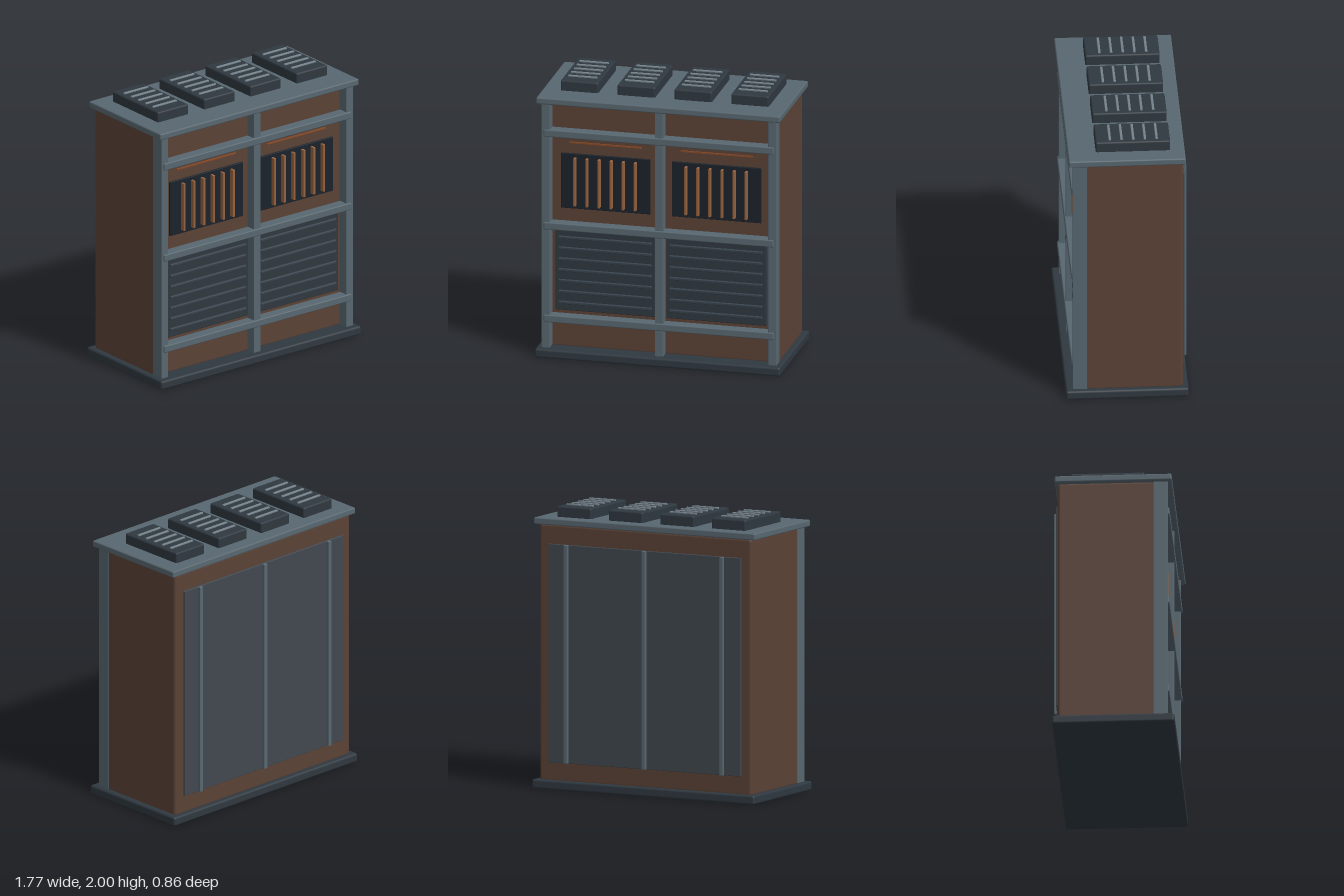
import * as THREE from 'three';
import { RoundedBoxGeometry } from 'three/addons/geometries/RoundedBoxGeometry.js';

const paint = (color) => new THREE.MeshStandardMaterial({ color });

export function createModel() {
  const model = new THREE.Group();
  const brown = paint(0x5b4236);
  const steel = paint(0x586770);
  const dark = paint(0x2f3840);
  const black = paint(0x1a222a);
  const slatSteel = paint(0x38434c);
  const copper = paint(0x96623f);
  const rust = paint(0x8a4a28);
  const backSteel = paint(0x41484f);
  const ridgeSteel = paint(0x75828b);

  // Box given by its extents on each axis, with an optional edge bevel
  function box(name, [x0, x1], [y0, y1], [z0, z1], material, bevel = 0) {
    const size = [x1 - x0, y1 - y0, z1 - z0];
    const geometry = bevel
      ? new RoundedBoxGeometry(...size, 2, bevel)
      : new THREE.BoxGeometry(...size);
    const mesh = new THREE.Mesh(geometry, material);
    mesh.name = name;
    mesh.position.set((x0 + x1) / 2, (y0 + y1) / 2, (z0 + z1) / 2);
    model.add(mesh);
    return mesh;
  }
  const around = (centre, width) => [centre - width / 2, centre + width / 2];

  // Cabinet shell
  box('base', [-0.885, 0.885], [0, 0.065], [-0.43, 0.43], dark, 0.015);
  box('body', [-0.845, 0.845], [0.05, 1.875], [-0.392, 0.305], brown, 0.022);
  box('topPlate', [-0.88, 0.88], [1.867, 1.915], [-0.41, 0.41], steel, 0.01);

  // Front frame
  for (const x of [-0.818, 0, 0.818]) {
    box('frontPost', around(x, 0.06), [0.06, 1.87], [0.28, 0.382], steel, 0.004);
  }
  for (const y of [0.281, 0.965, 1.65]) {
    box('frontRail', [-0.83, 0.83], around(y, 0.053), [0.305, 0.392], steel, 0.008);
  }

  // Two front bays: barred window, accent strip and louvred panel
  for (const x of [-0.4, 0.4]) {
    box('windowPanel', around(x, 0.645), [1.085, 1.49], [0.29, 0.318], black, 0.004);
    for (let i = 0; i < 6; i++) {
      const barX = x + (i - 2.5) * 0.087;
      box('windowBar', around(barX, 0.018), [1.11, 1.465], [0.31, 0.35], copper, 0.004);
    }
    box('accentStrip', around(x, 0.52), around(1.57, 0.01), [0.3, 0.315], rust);

    box('louvrePanel', around(x, 0.72), [0.333, 0.932], [0.29, 0.328], dark, 0.006);
    for (let i = 0; i < 7; i++) {
      const y = 0.392 + i * 0.08;
      box('louvreSlat', around(x, 0.672), around(y, 0.02), [0.318, 0.342], slatSteel, 0.005);
    }
  }

  // Back panel with vertical ribs
  box('backPanel', [-0.765, 0.765], [0.19, 1.735], [-0.406, -0.38], backSteel, 0.004);
  for (const x of [-0.62, 0, 0.62]) {
    box('backRib', around(x, 0.03), [0.19, 1.735], [-0.427, -0.4], steel, 0.004);
  }

  // Roof vents with raised ridges
  for (const x of [-0.615, -0.205, 0.205, 0.615]) {
    box('roofVent', around(x, 0.272), [1.905, 1.99], [-0.308, 0.215], dark, 0.012);
    for (let i = 0; i < 5; i++) {
      const z = -0.05 + (i - 2) * 0.082;
      box('ventRidge', around(x, 0.212), [1.98, 2], around(z, 0.018), ridgeSteel, 0.004);
    }
  }

  return model;
}
